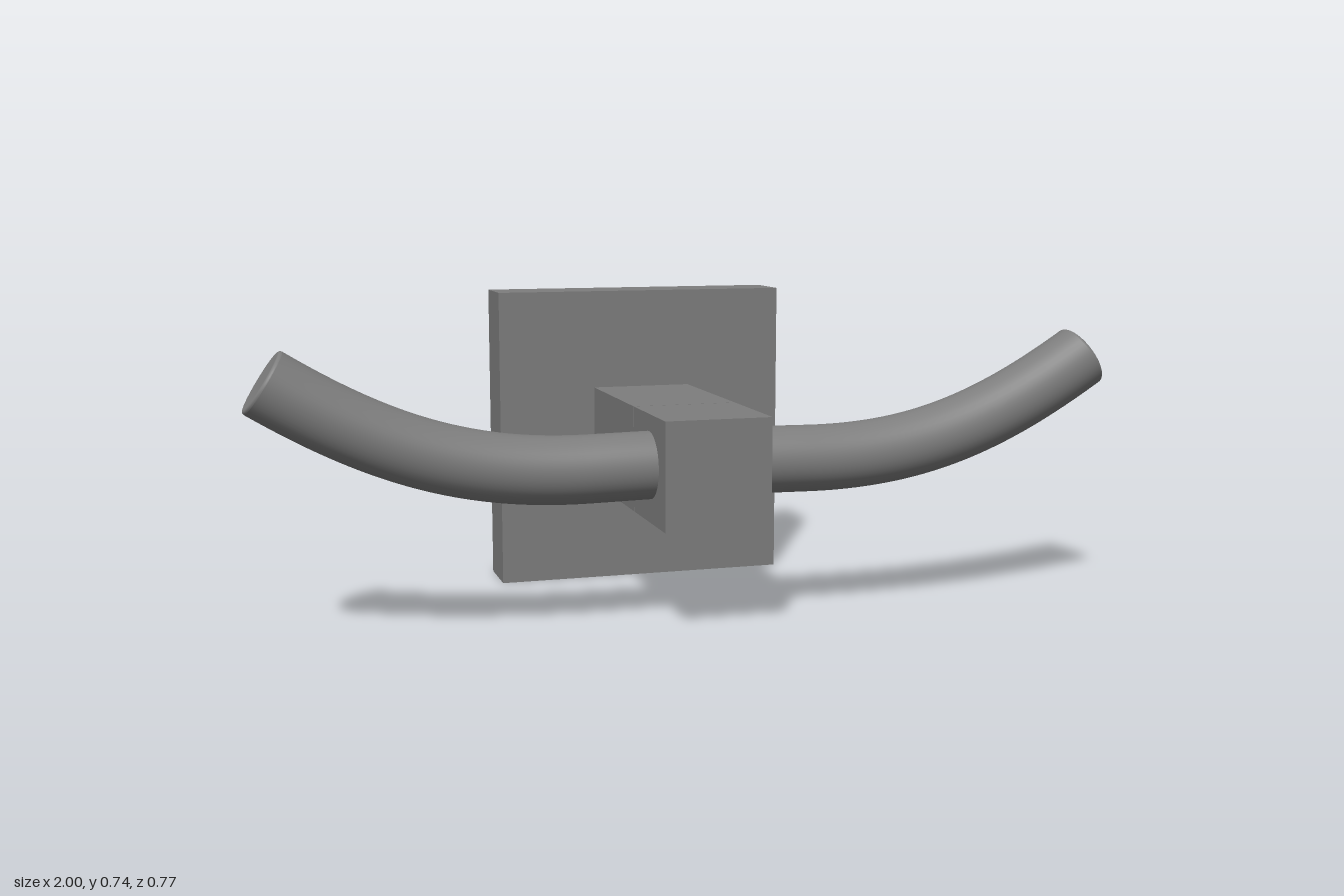
import * as THREE from 'three';

const material = new THREE.MeshStandardMaterial({ color: 0x7d7d7d });

// Box given by its limits in y and z, very slightly off centre in x
function box(name, width, y0, y1, z0, z1) {
  const mesh = new THREE.Mesh(new THREE.BoxGeometry(width, y1 - y0, z1 - z0), material);
  mesh.position.set(0.002, (y0 + y1) / 2, (z0 + z1) / 2);
  mesh.name = name;
  return mesh;
}

// One upswept arm along +x, ending in a flat tip with a rounded rim
function createArm(name) {
  const arm = new THREE.Group();
  arm.name = name;
  const radius = 0.077, fillet = 0.007;
  const end = new THREE.Vector3(0.963, 0.593, 0);
  const dir = new THREE.Vector3(0.842, 0.54, 0).normalize();
  const tubeEnd = end.clone().addScaledVector(dir, -fillet);

  const path = new THREE.CurvePath();
  const bendStart = new THREE.Vector3(0.26, 0.374, 0);
  path.add(new THREE.LineCurve3(new THREE.Vector3(0, 0.378, 0), bendStart));
  path.add(new THREE.CubicBezierCurve3(
    bendStart,
    new THREE.Vector3(0.53, 0.37, 0),
    tubeEnd.clone().addScaledVector(dir, -0.28),
    tubeEnd
  ));
  const rod = new THREE.Mesh(new THREE.TubeGeometry(path, 48, radius, 40), material);
  rod.name = 'armRod';

  // Tip profile: quarter-round rim, then the flat end face
  const profile = [];
  for (let i = 0; i <= 4; i++) {
    const a = (i / 4) * Math.PI / 2;
    profile.push(new THREE.Vector2(radius - fillet + fillet * Math.cos(a), fillet * Math.sin(a)));
  }
  profile.push(new THREE.Vector2(radius - fillet - 0.001, fillet), new THREE.Vector2(0, fillet));
  const tip = new THREE.Mesh(new THREE.LatheGeometry(profile, 40), material);
  tip.name = 'armTip';
  tip.position.copy(tubeEnd);
  tip.quaternion.setFromUnitVectors(new THREE.Vector3(0, 1, 0), dir);

  arm.add(rod, tip);
  arm.position.z = 0.26;
  return arm;
}

export function createModel() {
  const model = new THREE.Group();
  model.name = 'doubleRobeHook';

  // Square wall plate, neck and front block
  model.add(
    box('wallPlate', 0.73, 0, 0.735, -0.387, -0.248),
    box('neck', 0.247, 0.245, 0.492, -0.248, 0.129),
    box('frontBlock', 0.247, 0.245, 0.492, 0.131, 0.387)
  );

  // Pair of arms, the right one mirrored by half a turn
  const leftArm = createArm('leftArm');
  const rightArm = createArm('rightArm');
  rightArm.rotation.y = Math.PI;
  model.add(leftArm, rightArm);

  return model;
}
